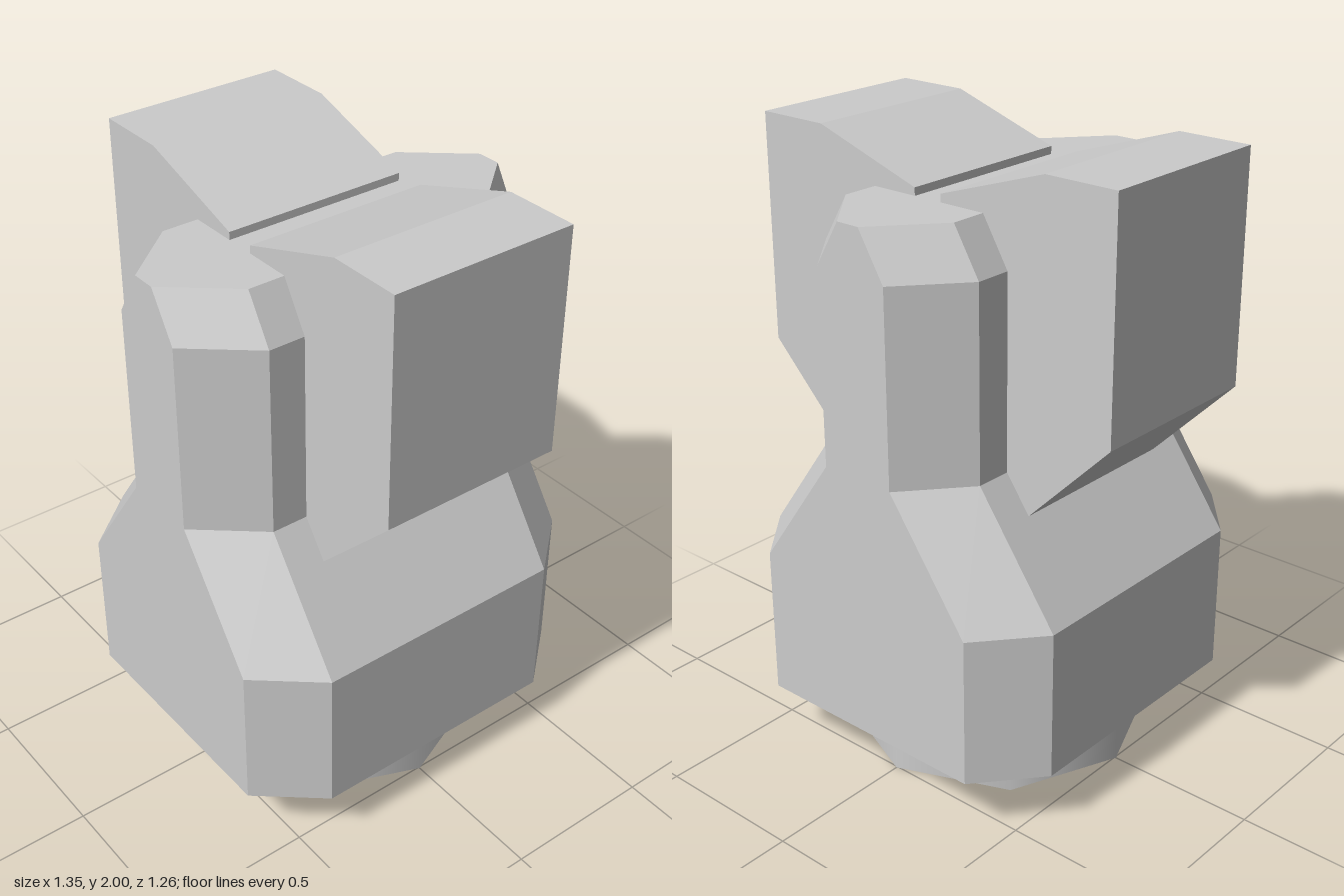
import * as THREE from 'three';

const flat = new THREE.MeshStandardMaterial({ color: 0xcccccc, flatShading: true });
const smooth = new THREE.MeshStandardMaterial({ color: 0xcccccc, side: THREE.DoubleSide });

// Closed solid lofted through chamfered-rectangle rings: [height, half width, half width at the front face]
function loftBody(sections, zSide, zFront) {
  const positions = [];
  const index = [];
  for (const [y, w, c] of sections) {
    const ring = [[w, zSide], [c, zFront], [-c, zFront], [-w, zSide],
      [-w, -zSide], [-c, -zFront], [c, -zFront], [w, -zSide]];
    for (const [x, z] of ring) positions.push(x, y, z);
  }
  const n = 8;
  for (let s = 0; s < sections.length - 1; s++) {
    for (let i = 0; i < n; i++) {
      const a = s * n + i;
      const b = s * n + (i + 1) % n;
      index.push(a, a + n, b, b, a + n, b + n);
    }
  }
  const top = (sections.length - 1) * n;
  for (let i = 1; i < n - 1; i++) {
    index.push(0, i, i + 1, top, top + i + 1, top + i);
  }
  const indexed = new THREE.BufferGeometry();
  indexed.setAttribute('position', new THREE.Float32BufferAttribute(positions, 3));
  indexed.setIndex(index);
  const geometry = indexed.toNonIndexed();
  geometry.computeVertexNormals();
  return geometry;
}

// Side block with a sloped top and an undercut lower corner
function sideBlock(side) {
  const depth = 0.62;
  const profile = [[0.05, 0.96], [0.38, 0.96], [0.675, 1.26], [0.675, 2], [0.43, 2], [0.05, 1.875]];
  const shape = new THREE.Shape(profile.map(([x, y]) => new THREE.Vector2(side * x, y)));
  const geometry = new THREE.ExtrudeGeometry(shape, { depth, bevelEnabled: false });
  geometry.translate(0, 0, -depth / 2);
  return new THREE.Mesh(geometry, flat);
}

export function createModel() {
  const model = new THREE.Group();
  model.name = 'model';

  // Chamfered body: wide base narrowing to an upright neck
  const body = new THREE.Mesh(loftBody([
    [0.2, 0.58, 0.41],
    [0.69, 0.58, 0.41],
    [1.08, 0.3, 0.13],
    [1.7, 0.3, 0.13],
    [1.85, 0.21, 0.04],
  ], 0.43, 0.63), flat);
  body.name = 'body';
  model.add(body);

  // Open eight-sided collar under the body
  const collar = new THREE.Mesh(new THREE.CylinderGeometry(0.505, 0.505, 0.2, 8, 1, true), smooth);
  collar.position.y = 0.1;
  collar.name = 'baseCollar';
  model.add(collar);

  // Mirrored pair of side blocks
  for (const [side, name] of [[1, 'leftSideBlock'], [-1, 'rightSideBlock']]) {
    const block = sideBlock(side);
    block.name = name;
    model.add(block);
  }
  return model;
}
